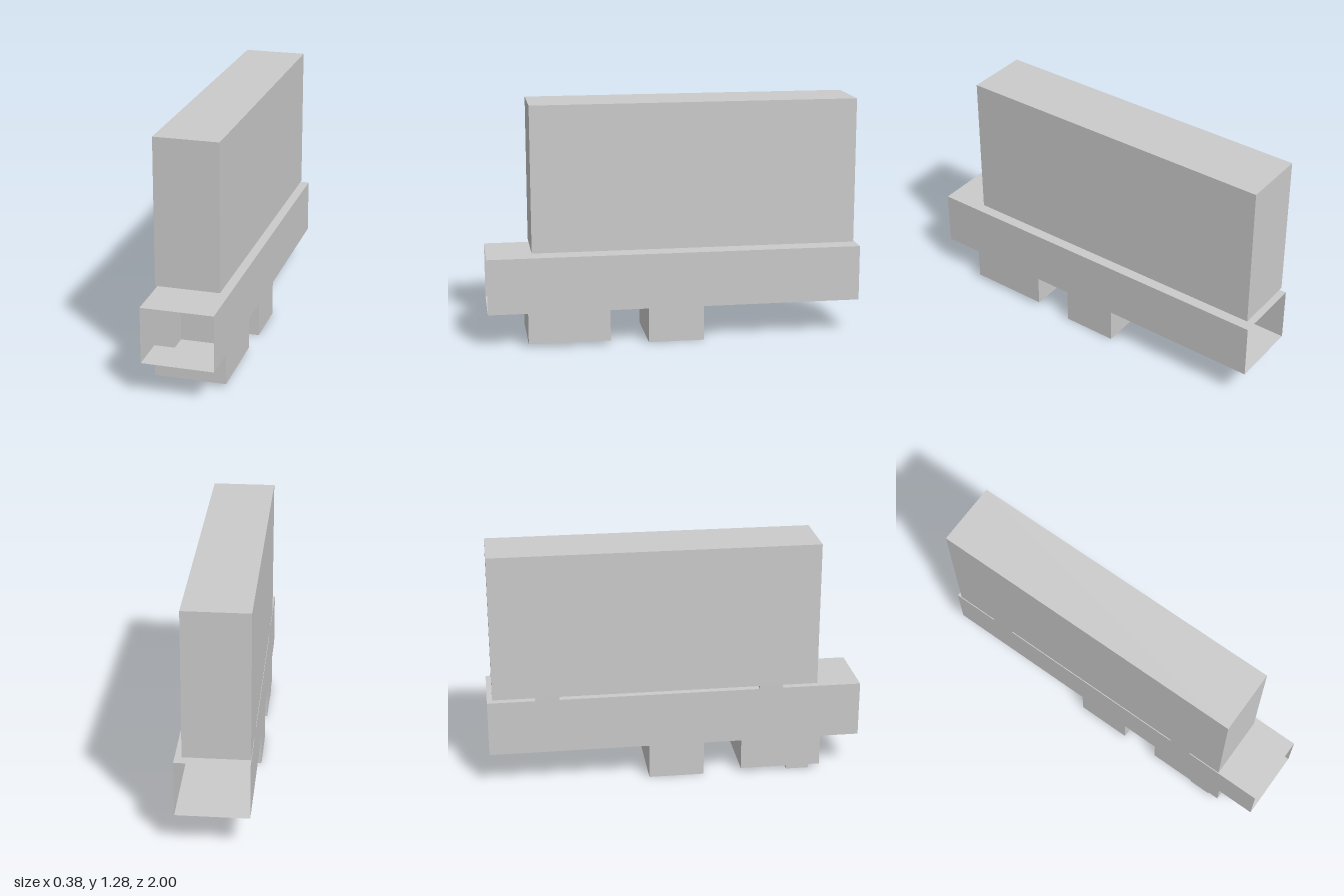
import * as THREE from 'three';
import { mergeGeometries } from 'three/addons/utils/BufferGeometryUtils.js';

const material = new THREE.MeshStandardMaterial({ color: 0xcccccc, side: THREE.DoubleSide, flatShading: true });
const W = 0.188; // half width of the beam
const PAD_X = 0.04; // inner edge of the pads and the foot

// Upright sheet across x, facing +z
const acrossX = (x0, x1, y0, y1, z) =>
  new THREE.PlaneGeometry(x1 - x0, y1 - y0).translate((x0 + x1) / 2, (y0 + y1) / 2, z);

// Upright sheet along z, facing dir (+1 or -1) on x
const alongZ = (x, y0, y1, z0, z1, dir) =>
  new THREE.PlaneGeometry(z1 - z0, y1 - y0).rotateY(dir * Math.PI / 2).translate(x, (y0 + y1) / 2, (z0 + z1) / 2);

// Level sheet, facing dir (+1 or -1) on y
const level = (x0, x1, z0, z1, y, dir) =>
  new THREE.PlaneGeometry(x1 - x0, z1 - z0).rotateX(-dir * Math.PI / 2).translate((x0 + x1) / 2, y, (z0 + z1) / 2);

// Level sheet with openings [z0, z1, xEnd] that start at its -x edge, in order of z
function cutLevel(x0, x1, z0, z1, y, dir, openings) {
  const sheets = [];
  let z = z0;
  for (const [a, b, xEnd] of openings) {
    sheets.push(level(x0, x1, z, a, y, dir));
    if (xEnd < x1) sheets.push(level(xEnd, x1, a, b, y, dir));
    z = b;
  }
  sheets.push(level(x0, x1, z, z1, y, dir));
  return sheets;
}

// Four walls, open above and below
const sleeve = (x0, x1, y0, y1, z0, z1) => [
  acrossX(x0, x1, y0, y1, z1),
  acrossX(x0, x1, y0, y1, z0).rotateY(Math.PI).translate(x0 + x1, 0, 2 * z0),
  alongZ(x1, y0, y1, z0, z1, 1),
  alongZ(x0, y0, y1, z0, z1, -1),
];

export function createModel() {
  const model = new THREE.Group();
  model.name = 'hollowBlockAssembly';
  const add = (name, sheets) => {
    const mesh = new THREE.Mesh(mergeGeometries(sheets), material);
    mesh.name = name;
    model.add(mesh);
  };

  const beamBottom = 0.187, beamTop = 0.485, boxBottom = 0.502, boxTop = 1.282, legBottom = 0.02;
  const pads = [[-0.745, -0.62, PAD_X], [0.45, 0.575, PAD_X]];
  const frontLeg = [0.355, 0.79, W];
  const middleLeg = [-0.147, 0.15, W];
  const foot = [0.607, 0.73, PAD_X];

  // Beam: a duct open at both ends, with openings into the pads and legs
  add('beam', [
    alongZ(W, beamBottom, beamTop, -1, 1, 1),
    alongZ(-W, beamBottom, beamTop, -1, 1, -1),
    ...cutLevel(-W, W, -1, 1, beamTop, 1, pads),
    ...cutLevel(-W, W, -1, 1, beamBottom, -1, [middleLeg, frontLeg]),
  ]);

  // Tall box, open into the pads
  add('upperBox', [
    ...sleeve(-W, 0.15, boxBottom, boxTop, -0.972, 0.763),
    level(-W, 0.15, -0.972, 0.763, boxTop, 1),
    ...cutLevel(-W, 0.15, -0.972, 0.763, boxBottom, -1, pads),
  ]);

  // Short hollow pads between the beam and the box
  pads.forEach(([a, b, x], i) =>
    add(i ? 'frontPad' : 'backPad', sleeve(-W, x, beamTop, boxBottom, a, b)));

  // Legs: the middle one is open below, the front one ends in a small open foot
  add('middleLeg', sleeve(-W, W, 0, beamBottom, middleLeg[0], middleLeg[1]));
  add('frontLeg', [
    ...sleeve(-W, W, legBottom, beamBottom, frontLeg[0], frontLeg[1]),
    ...cutLevel(-W, W, frontLeg[0], frontLeg[1], legBottom, -1, [foot]),
  ]);
  add('foot', sleeve(-W, PAD_X, 0, legBottom, foot[0], foot[1]));

  return model;
}
